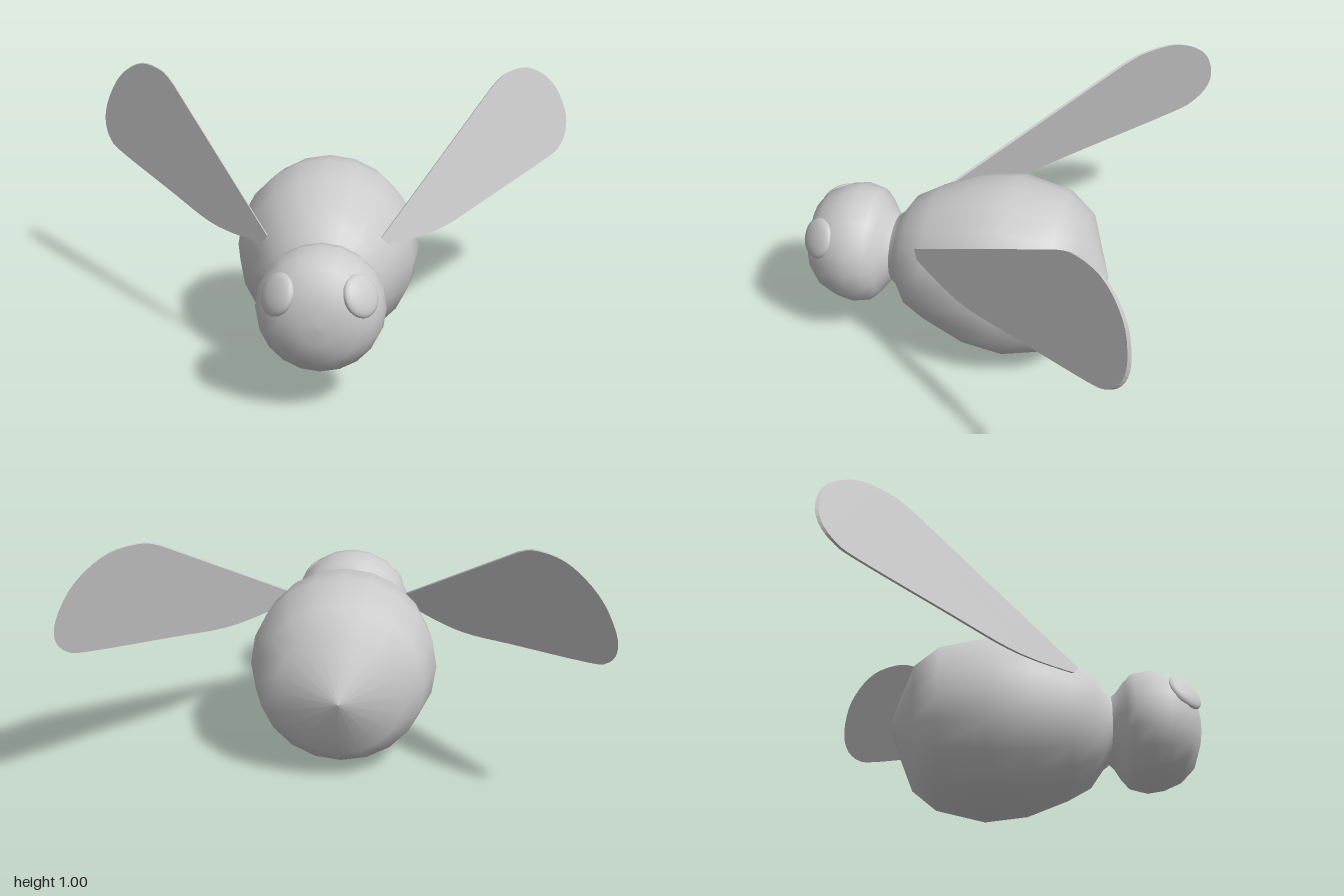
import * as THREE from 'three';

const AXIS_Y = 0.372;

export function createModel() {
  const model = new THREE.Group();
  const grey = new THREE.MeshStandardMaterial({ color: 0xcccccc, side: THREE.DoubleSide });

  const add = (name, geometry) => {
    const mesh = new THREE.Mesh(geometry, grey);
    mesh.name = name;
    model.add(mesh);
    return mesh;
  };

  // Round parts turned about the long axis; profile is [z, radius] from back to front
  const turned = (name, profile) => {
    const geometry = new THREE.LatheGeometry(profile.map(([z, r]) => new THREE.Vector2(r, z)), 20);
    geometry.rotateX(Math.PI / 2).translate(0, AXIS_Y, 0);
    return add(name, geometry);
  };

  turned('body', [
    [-0.498, 0], [-0.4, 0.25], [-0.305, 0.325], [-0.112, 0.368], [0.055, 0.345],
    [0.214, 0.28], [0.305, 0.228], [0.353, 0.155], [0.378, 0.134],
  ]);
  turned('head', [
    [0.378, 0.134], [0.4, 0.155], [0.43, 0.198], [0.46, 0.23], [0.53, 0.246],
    [0.595, 0.234], [0.663, 0.202], [0.71, 0.15], [0.733, 0.07], [0.737, 0],
  ]);

  // Wing outline seen from the front, after the two root corners
  const edge = [
    [0.246, 0.508], [0.374, 0.492], [0.49, 0.497], [0.652, 0.54], [0.914, 0.61],
    [0.973, 0.642], [1, 0.7], [0.994, 0.78], [0.946, 0.888], [0.877, 0.963],
    [0.8, 1.003], [0.71, 0.998], [0.655, 0.962],
  ];

  for (const [side, s] of [['left', 1], ['right', -1]]) {
    // Flattened eye lying on the head surface
    const eye = add(`${side}Eye`, new THREE.SphereGeometry(1, 20, 14));
    eye.scale.set(0.082, 0.082, 0.03);
    eye.position.set(s * 0.152, 0.473, 0.66);
    eye.quaternion.setFromUnitVectors(
      new THREE.Vector3(0, 0, 1), new THREE.Vector3(s * 0.67, 0.44, 0.59).normalize());

    // Thin flat wing, sheared back onto its sloping plane
    const shape = new THREE.Shape();
    shape.moveTo(s * 0.22, 0.54);
    shape.lineTo(s * edge[0][0], edge[0][1]);
    shape.splineThru(edge.slice(1).map(([x, y]) => new THREE.Vector2(s * x, y)));
    shape.closePath();
    const wing = new THREE.ExtrudeGeometry(shape, { depth: 0.014, bevelEnabled: false, curveSegments: 3 });
    const p = wing.attributes.position;
    for (let i = 0; i < p.count; i++) {
      const x = Math.abs(p.getX(i)), y = p.getY(i);
      p.setZ(i, p.getZ(i) + 0.227 - 1.15 * (x - 0.22) - 0.33 * (y - 0.54));
    }
    wing.computeVertexNormals();
    add(`${side}Wing`, wing);
  }
  return model;
}
